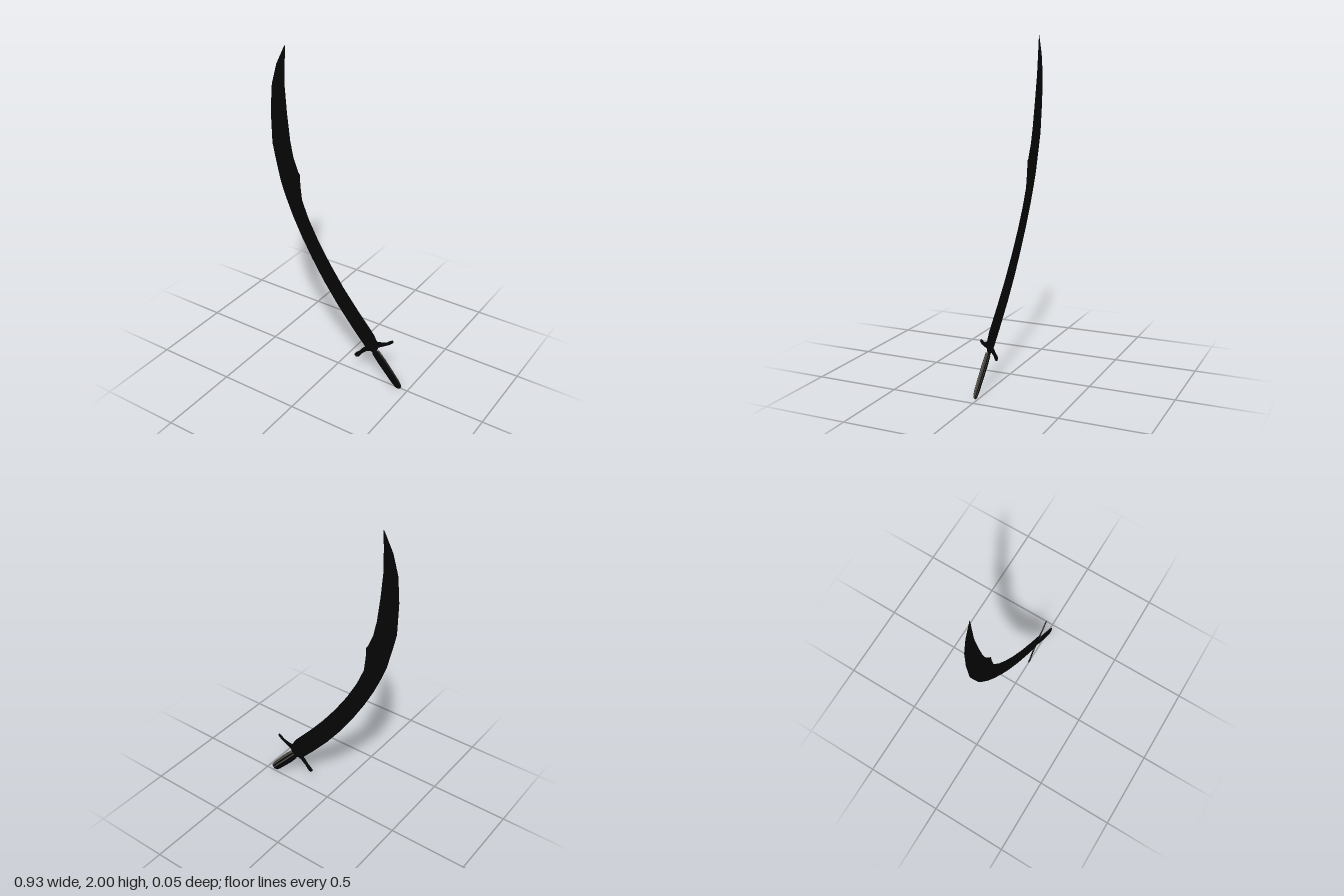
import * as THREE from 'three';

// Gentle sideways warp of the blade with height
const warp = (y) => 0.013 - 0.038 * Math.pow(y / 2, 3);

// Blade stations from tip to guard: outer x, y, inner x, y
const STATIONS = [
  [-0.373, 1.995, -0.366, 2.0], [-0.426, 1.886, -0.368, 1.897], [-0.458, 1.765, -0.368, 1.765],
  [-0.468, 1.606, -0.352, 1.606], [-0.46, 1.41, -0.331, 1.447], [-0.443, 1.335, -0.31, 1.352],
  [-0.422, 1.25, -0.275, 1.264], [-0.418, 1.235, -0.265, 1.255], [-0.403, 1.175, -0.262, 1.183],
  [-0.373, 1.093, -0.251, 1.093], [-0.32, 0.971, -0.204, 0.981], [-0.257, 0.849, -0.135, 0.854],
  [-0.183, 0.722, -0.05, 0.722], [-0.098, 0.59, 0.045, 0.59], [0.008, 0.447, 0.146, 0.468],
  [0.124, 0.31, 0.262, 0.336], [0.21, 0.215, 0.298, 0.275],
];

// Diamond cross-sections joined along the curve
function bladeGeometry() {
  const rings = STATIONS.map(([ox, oy, ix, iy], i) => {
    const mx = (ox + ix) / 2, my = (oy + iy) / 2, t = i ? 0.004 : 0.001;
    return [
      [ox, oy, warp(oy)], [mx, my, warp(my) + t],
      [ix, iy, warp(iy)], [mx, my, warp(my) - t],
    ];
  });
  const pos = [];
  const quad = (a, b, c, d) => pos.push(...a, ...b, ...d, ...b, ...c, ...d);
  for (let i = 0; i < rings.length - 1; i++) {
    for (let k = 0; k < 4; k++) {
      const n = (k + 1) % 4;
      quad(rings[i][k], rings[i + 1][k], rings[i + 1][n], rings[i][n]);
    }
  }
  const first = rings[0], last = rings[rings.length - 1];
  quad(first[0], first[1], first[2], first[3]);
  quad(last[3], last[2], last[1], last[0]);
  const g = new THREE.BufferGeometry();
  g.setAttribute('position', new THREE.Float32BufferAttribute(pos, 3));
  g.computeVertexNormals();
  return g;
}

// Thin S-shaped crossguard, slanted slightly in depth
function guardGeometry() {
  const outline = [
    [0.132, 0.14], [0.145, 0.125], [0.161, 0.13], [0.188, 0.167], [0.22, 0.198], [0.246, 0.207],
    [0.262, 0.195], [0.278, 0.2], [0.296, 0.25], [0.341, 0.278], [0.373, 0.299], [0.394, 0.32],
    [0.389, 0.333], [0.373, 0.325], [0.352, 0.306], [0.315, 0.293], [0.278, 0.285],
    [0.22, 0.232], [0.193, 0.212], [0.167, 0.177], [0.145, 0.158],
  ].map(([x, y]) => new THREE.Vector2(x, y));
  const g = new THREE.ExtrudeGeometry(new THREE.Shape(outline), { depth: 0.006, bevelEnabled: false });
  const p = g.attributes.position;
  for (let i = 0; i < p.count; i++) {
    p.setZ(i, p.getZ(i) + 0.0085 - 0.07 * (p.getX(i) - 0.26));
  }
  g.computeVertexNormals();
  return g;
}

export function createModel() {
  const black = new THREE.MeshStandardMaterial({ color: 0x050505 });
  black.name = 'black steel';
  const grey = new THREE.MeshStandardMaterial({ color: 0x4b4740 });
  grey.name = 'warm grey grip';

  const model = new THREE.Group();
  model.name = 'curvedSword';
  const add = (parent, name, geometry, material) => {
    const mesh = new THREE.Mesh(geometry, material);
    mesh.name = name;
    parent.add(mesh);
  };

  add(model, 'blade', bladeGeometry(), black);
  add(model, 'guard', guardGeometry(), black);

  // Flattened grip, turned in sectors so the rear panel can differ in colour
  const grip = new THREE.Group();
  grip.name = 'grip';
  const profile = [
    [0, 0], [0.016, 0.003], [0.025, 0.015], [0.03, 0.05],
    [0.032, 0.12], [0.034, 0.2], [0.031, 0.265], [0, 0.28],
  ].map(([r, y]) => new THREE.Vector2(r, y));
  const sectors = [
    ['gripRearPanel', 85, 150, grey], ['gripGroove', 150, 168, black],
    ['gripRearStrip', 168, 185, grey], ['gripBody', 185, 445, black],
  ];
  for (const [name, from, to, material] of sectors) {
    const segments = Math.max(2, Math.round((to - from) / 15));
    const rad = THREE.MathUtils.degToRad;
    add(grip, name, new THREE.LatheGeometry(profile, segments, rad(from), rad(to - from)), material);
  }
  grip.scale.z = 0.3;
  grip.rotation.z = THREE.MathUtils.degToRad(41.3);
  grip.position.set(0.455, 0.009, 0.012);
  model.add(grip);

  return model;
}
